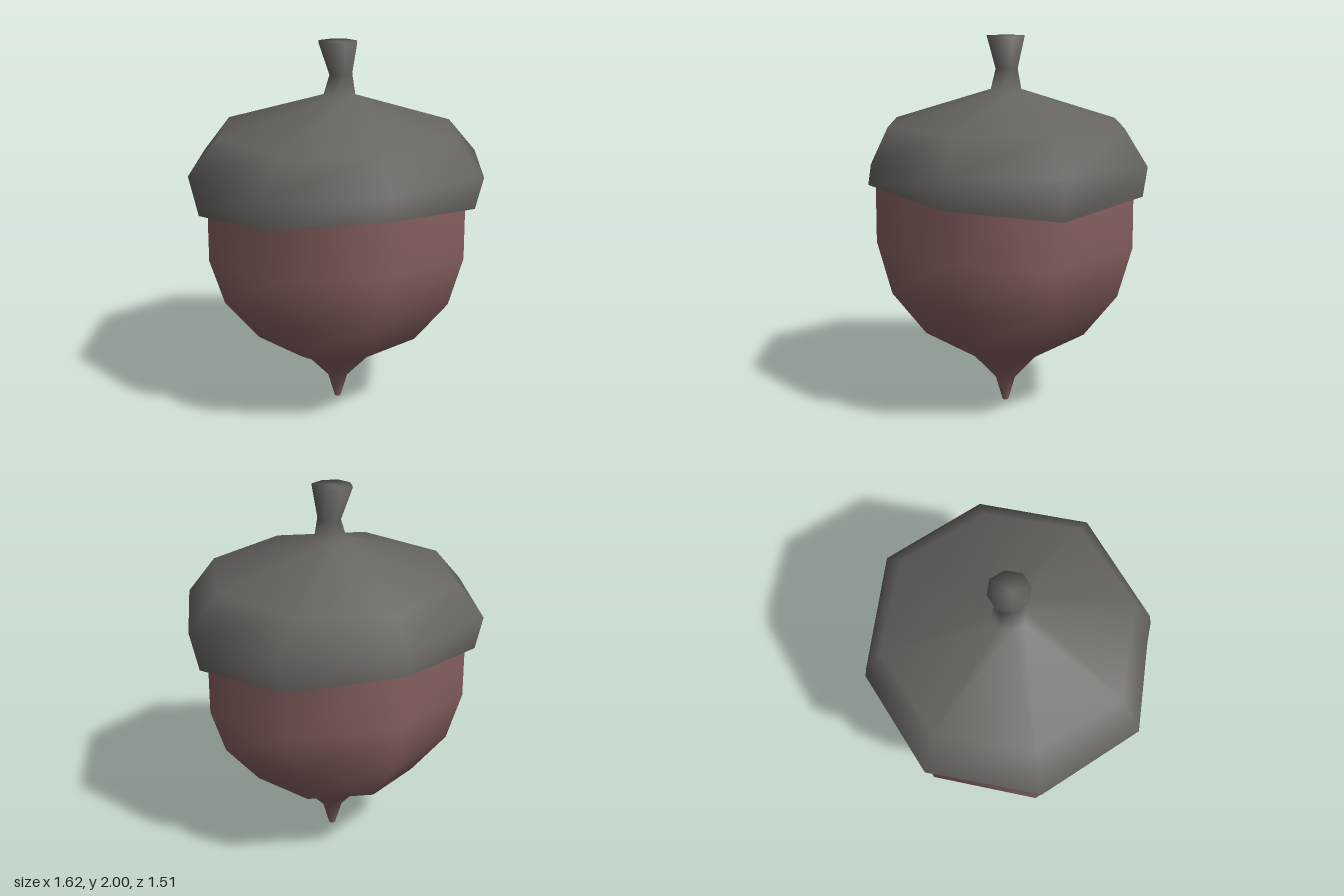
import * as THREE from 'three';

const SIDES = 8;

// Skin a stack of eight-sided rings, listed bottom to top:
// [y, x radius, z radius, lift towards +-z, x offset, diagonal scale]
function loft(name, color, rings, closeBottom, closeTop) {
  const pos = [], index = [];
  for (const [y, rx, rz, lift = 0, ox = 0, diag = 1] of rings) {
    for (let i = 0; i < SIDES; i++) {
      const a = (i / SIDES) * Math.PI * 2;
      const s = i % 2 ? diag : 1;
      pos.push(ox + Math.cos(a) * rx * s, y - lift * Math.cos(2 * a), Math.sin(a) * rz * s);
    }
  }
  for (let r = 0; r < rings.length - 1; r++) {
    for (let i = 0; i < SIDES; i++) {
      const j = (i + 1) % SIDES;
      const a = r * SIDES + i, b = r * SIDES + j;
      index.push(a, a + SIDES, b, b, a + SIDES, b + SIDES);
    }
  }
  // Fan-shaped ends
  const addEnd = (ring, start, up) => {
    const c = pos.length / 3;
    pos.push(ring[4] || 0, ring[0], 0);
    for (let i = 0; i < SIDES; i++) {
      const a = start + i, b = start + ((i + 1) % SIDES);
      if (up) index.push(a, c, b);
      else index.push(a, b, c);
    }
  };
  if (closeBottom) addEnd(rings[0], 0, false);
  if (closeTop) addEnd(rings[rings.length - 1], (rings.length - 1) * SIDES, true);

  const geo = new THREE.BufferGeometry();
  geo.setAttribute('position', new THREE.Float32BufferAttribute(pos, 3));
  geo.setIndex(index);
  geo.computeVertexNormals();
  const mesh = new THREE.Mesh(geo, new THREE.MeshStandardMaterial({ color, side: THREE.DoubleSide }));
  mesh.name = name;
  return mesh;
}

export function createModel() {
  const group = new THREE.Group();
  group.name = 'acorn';
  const capColor = 0x66645f, nutColor = 0x8a6262;

  // Nut with pointed tip, running up inside the cap
  group.add(loft('nut', nutColor, [
    [0, 0.017, 0.017],
    [0.135, 0.057, 0.057],
    [0.267, 0.178, 0.178],
    [0.428, 0.455, 0.455, 0.004],
    [0.66, 0.638, 0.638, 0.01],
    [0.925, 0.715, 0.715, 0.03],
    [1.31, 0.713, 0.713, 0.04],
  ], true, false));

  // Cap and stem as one smooth skin
  group.add(loft('capAndStem', capColor, [
    [1.2, 0.76, 0.753, 0.055, 0, 1.01],
    [1.36, 0.808, 0.737, 0, 0, 1.03],
    [1.545, 0.645, 0.645, 0, 0, 1.02],
    [1.72, 0.09, 0.087, 0, 0.008],
    [1.83, 0.063, 0.062, 0, 0.017],
    [2, 0.105, 0.105, 0, 0, 1.04],
  ], false, true));

  // Underside lip of the cap, kept separate for a sharp edge
  group.add(loft('capLip', capColor, [
    [1.225, 0.69, 0.69, 0.055],
    [1.2, 0.76, 0.753, 0.055, 0, 1.01],
  ], false, false));

  return group;
}
